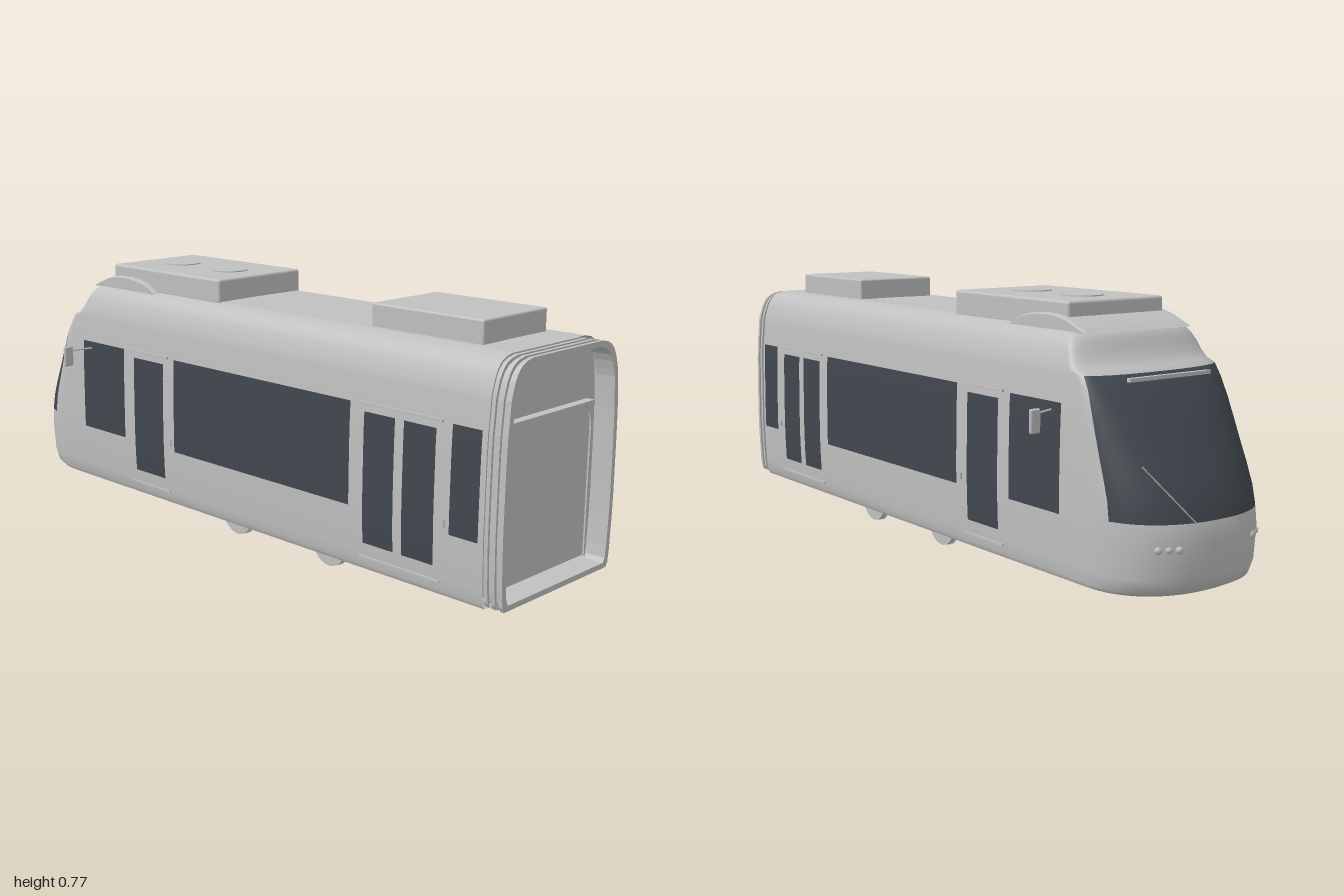
import * as THREE from 'three';
import { RoundedBoxGeometry } from 'three/addons/geometries/RoundedBoxGeometry.js';

// Body slices from sill to roof: [height, half width, nose tip z, nose depth]
const ROWS = [
  [0.062, 0.232, -0.955, 0.2], [0.075, 0.239, -0.98, 0.21], [0.11, 0.243, -0.994, 0.215],
  [0.2, 0.247, -1.0, 0.22], [0.25, 0.248, -0.99, 0.21], [0.3, 0.248, -0.973, 0.195],
  [0.35, 0.2475, -0.948, 0.18], [0.4, 0.247, -0.918, 0.16], [0.46, 0.246, -0.882, 0.135],
  [0.513, 0.244, -0.848, 0.11], [0.56, 0.24, -0.81, 0.08], [0.594, 0.237, -0.78, 0.065],
  [0.605, 0.236, -0.75, 0.06], [0.625, 0.231, -0.725, 0.05], [0.65, 0.223, -0.71, 0.045],
  [0.67, 0.213, -0.698, 0.042], [0.685, 0.199, -0.688, 0.04], [0.695, 0.18, -0.672, 0.035],
  [0.7, 0.155, -0.65, 0.03],
];
const REAR = 0.945;

function halfWidth(y) {
  const k = Math.min(Math.max(ROWS.findIndex(r => r[0] >= y), 1), ROWS.length - 1);
  const a = ROWS[k - 1], b = ROWS[k];
  return THREE.MathUtils.lerp(a[1], b[1], (y - a[0]) / (b[0] - a[0]));
}

// Angles round the nose; the windscreen lies between EDGE and PI - EDGE
const EDGE = 0.273, SEG = 30;
const ANGLES = [0, 0.09, 0.18];
for (let i = 0; i <= SEG; i++) ANGLES.push(EDGE + (Math.PI - 2 * EDGE) * i / SEG);
ANGLES.push(Math.PI - 0.18, Math.PI - 0.09, Math.PI);

// Skin through slices; faces picked by isGlass go to the second material
function skin(rows, isGlass = () => false) {
  const pos = [], solid = [], glass = [], n = ANGLES.length + 2;
  for (const [y, w, tip, d] of rows) {
    pos.push(w, y, REAR);
    for (const t of ANGLES) {
      const c = Math.cos(t);
      pos.push(w * Math.sign(c) * Math.abs(c) ** 0.87, y, tip + d - d * Math.abs(Math.sin(t)) ** 0.87);
    }
    pos.push(-w, y, REAR);
  }
  for (let j = 0; j < rows.length - 1; j++) for (let i = 0; i < n - 1; i++) {
    const a = j * n + i;
    (isGlass(i, rows[j][0]) ? glass : solid).push(a, a + 1, a + n, a + 1, a + n + 1, a + n);
  }
  const g = new THREE.BufferGeometry();
  g.setAttribute('position', new THREE.Float32BufferAttribute(pos, 3));
  g.setIndex([...solid, ...glass]);
  g.addGroup(0, solid.length, 0);
  g.addGroup(solid.length, glass.length, 1);
  g.computeVertexNormals();
  return g;
}

// Closed outline of the car's cross-section, inset by d
function section(d, Type = THREE.Shape) {
  const right = ROWS.map(r => new THREE.Vector2(r[1] - d, 0.062 + d + (r[0] - 0.062) * (0.638 - 2 * d) / 0.638));
  return new Type([...right, ...right.slice().reverse().map(p => new THREE.Vector2(-p.x, p.y))]);
}

// Opening of the passenger room
function arch(Type) {
  const s = new Type();
  s.moveTo(-0.228, 0.08); s.lineTo(0.228, 0.08); s.lineTo(0.228, 0.44);
  s.quadraticCurveTo(0.225, 0.515, 0.16, 0.515); s.lineTo(-0.16, 0.515);
  s.quadraticCurveTo(-0.225, 0.515, -0.228, 0.44); s.lineTo(-0.228, 0.08);
  return s;
}

export function createModel() {
  const tram = new THREE.Group();
  const grey = new THREE.MeshStandardMaterial({ color: 0xc0c0c0, side: THREE.DoubleSide });
  grey.name = 'bodyGrey';
  const dark = new THREE.MeshStandardMaterial({ color: 0x40474e, side: THREE.DoubleSide });
  dark.name = 'darkGlass';

  const add = (name, geo, mat = grey, x = 0, y = 0, z = 0) => {
    const m = new THREE.Mesh(geo, mat);
    m.name = name; m.position.set(x, y, z);
    tram.add(m);
    return m;
  };
  const box = (name, x0, x1, y0, y1, z0, z1, mat = grey) =>
    add(name, new THREE.BoxGeometry(x1 - x0, y1 - y0, z1 - z0), mat, (x0 + x1) / 2, (y0 + y1) / 2, (z0 + z1) / 2);
  const rod = (name, a, b, r) =>
    add(name, new THREE.TubeGeometry(new THREE.LineCurve3(new THREE.Vector3(...a), new THREE.Vector3(...b)), 1, r, 8));
  const across = (name, x, y, z, r, len) => {
    add(name, new THREE.CylinderGeometry(r, r, len, 28), grey, x, y, z).rotation.z = Math.PI / 2;
  };
  const extrude = (name, shape, z0, depth) =>
    add(name, new THREE.ExtrudeGeometry(shape, { depth, bevelEnabled: false, curveSegments: 10 }), grey, 0, 0, z0);
  // Thin panel that follows the curve of the side wall
  const sidePanel = (name, s, y0, y1, z0, z1, off, mat) => {
    const g = new THREE.PlaneGeometry(z1 - z0, y1 - y0, 1, 8);
    g.rotateY(s * Math.PI / 2);
    g.translate(0, (y0 + y1) / 2, (z0 + z1) / 2);
    const p = g.attributes.position;
    for (let i = 0; i < p.count; i++) p.setX(i, s * (halfWidth(p.getY(i)) + off));
    g.computeVertexNormals();
    add(name, g, mat);
  };

  // Shell, windscreen and underside
  add('bodyShell', skin(ROWS, (i, y) => i >= 4 && i < 4 + SEG && y >= 0.25 && y < 0.594), [grey, dark]);
  const low = ROWS[0], top = ROWS[ROWS.length - 1];
  add('underside', skin([[low[0], 0, low[2], low[3]], low]), [grey, dark]);
  add('roof', skin([top, [top[0] + 0.001, 0, top[2], top[3]]]), [grey, dark]);

  // Rear bulkhead and gangway bellows
  const bulkhead = section(0.006);
  bulkhead.holes.push(arch(THREE.Path));
  extrude('rearBulkhead', bulkhead, 0.92, 0.01);
  box('ceilingLip', -0.2, 0.2, 0.515, 0.525, 0.925, 0.955);
  for (let i = 0; i < 5; i++) {
    const ring = section(i % 2 ? 0.012 : 0.005);
    ring.holes.push(section(0.02, THREE.Path));
    extrude('bellowsRing', ring, 0.944 + i * 0.0112, 0.0112);
  }

  // Passenger room: lining, floor and cab wall
  const pts = arch(THREE.Shape).getPoints(10);
  const lining = new THREE.Shape(pts.map(p => new THREE.Vector2(p.x * 1.006, p.y + 0.002)));
  lining.holes.push(arch(THREE.Path));
  extrude('roomLining', lining, -0.62, 1.545);
  box('floor', -0.228, 0.228, 0.068, 0.08, -0.62, 0.98);
  extrude('cabWall', arch(THREE.Shape), -0.63, 0.01);
  box('displayFrame', -0.065, 0.065, 0.452, 0.503, -0.62, -0.6);
  box('displayScreen', -0.058, 0.058, 0.457, 0.498, -0.6, -0.596, dark);
  box('monitor', -0.17, -0.065, 0.35, 0.42, -0.59, -0.582, dark);
  rod('monitorStand', [-0.138, 0.325, -0.59], [-0.138, 0.352, -0.59], 0.003);
  rod('centrePole', [0, 0.08, 0.67], [0, 0.515, 0.67], 0.004);

  for (const s of [-1, 1]) {
    const span = (name, a, b, ...rest) => box(name, Math.min(s * a, s * b), Math.max(s * a, s * b), ...rest);

    // Side glazing, outside and inside
    const panes = [[0.235, 0.52, 0.84, 0.93], [0.14, 0.5, 0.685, 0.79], [0.14, 0.5, 0.55, 0.655],
      [0.235, 0.52, -0.22, 0.5], [0.14, 0.5, -0.41, -0.27], [0.235, 0.52, -0.67, -0.46]];
    for (const [y0, y1, z0, z1] of panes) {
      sidePanel('sideWindow', s, y0, y1, z0, z1, 0.0025, dark);
      span('innerWindow', 0.2255, 0.2275, y0, Math.min(y1, 0.45), Math.max(z0, -0.61), Math.min(z1, 0.915), dark);
    }
    // Door rails, posts and sills
    for (const [z0, z1] of [[0.535, 0.81], [-0.43, -0.25]]) {
      span('doorRail', 0.24, 0.249, 0.518, 0.525, z0, z1);
      span('doorSill', 0.24, 0.247, 0.098, 0.103, z0, z1);
      sidePanel('doorPost', s, 0.1, 0.52, z1 - 0.008, z1 - 0.002, 0.003, grey);
      span('doorButton', 0.245, 0.253, 0.25, 0.27, z1 + 0.005, z1 + 0.015);
    }

    // Mirrors
    rod('mirrorArm', [s * 0.24, 0.499, -0.628], [s * 0.31, 0.489, -0.652].map((v, i) => i === 1 ? 0.497 : v), 0.003);
    add('mirror', new RoundedBoxGeometry(0.033, 0.064, 0.012, 3, 0.006), grey, s * 0.319, 0.479, -0.655);

    // Headlamps
    for (let i = 0; i < 3; i++)
      add('headlamp', new THREE.SphereGeometry(0.011, 12, 8), grey, s * (0.125 + i * 0.022), 0.188, -0.974 + i * 0.0135);

    // Wheels and brake discs
    for (const z of [0.353, -0.027]) {
      across('wheel', s * 0.16, 0.064, z, 0.062, 0.018);
      across('wheelFlange', s * 0.152, 0.064, z, 0.0638, 0.005);
      across('wheelHub', s * 0.175, 0.064, z, 0.025, 0.02);
      across('brakeDisc', s * 0.1, 0.064, z, 0.037, 0.009);
    }

    // Seats on their plinth
    span('seatPlinth', 0.04, 0.222, 0.08, 0.12, -0.15, 0.46);
    for (const [z, f] of [[0.42, -1], [0.16, 1], [-0.12, 1]]) {
      for (const x of [0.09, 0.18]) {
        add('seatBack', new THREE.BoxGeometry(0.088, 0.15, 0.012), grey, s * x, 0.275, z);
        add('seatCushion', new THREE.BoxGeometry(0.088, 0.016, 0.09), grey, s * x, 0.205, z + f * 0.045);
      }
      add('seatLeg', new THREE.BoxGeometry(0.04, 0.08, 0.04), grey, s * 0.172, 0.16, z + f * 0.045);
    }
    // Grab poles
    rod('grabPole', [s * 0.175, 0.08, 0.82], [s * 0.175, 0.505, 0.82], 0.004);
    rod('grabPole', [s * 0.22, 0.08, 0.52], [s * 0.22, 0.47, 0.52], 0.004);
  }

  // Axles and drive units
  for (const z of [0.353, -0.027]) across('axle', 0, 0.064, z, 0.008, 0.32);
  for (const z of [0.255, 0.07]) across('driveUnit', 0, 0.062, z, 0.024, 0.125);

  // Roof equipment and its fairing
  add('frontRoofUnit', new RoundedBoxGeometry(0.335, 0.074, 0.5, 3, 0.008), grey, 0, 0.729, -0.35);
  add('rearRoofUnit', new RoundedBoxGeometry(0.27, 0.072, 0.37, 3, 0.006), grey, 0, 0.727, 0.655);
  for (const z of [-0.46, -0.24]) add('roofFan', new THREE.CylinderGeometry(0.058, 0.058, 0.004, 32), grey, 0, 0.767, z);
  const curve = new THREE.CatmullRomCurve3([[0.37, 0.69], [0.43, 0.717], [0.5, 0.728], [0.59, 0.724], [0.685, 0.69]]
    .map(p => new THREE.Vector3(p[0], p[1], 0)));
  const fairing = new THREE.ExtrudeGeometry(new THREE.Shape(curve.getPoints(16).map(p => new THREE.Vector2(p.x, p.y))),
    { depth: 0.34, bevelThickness: 0.015, bevelSize: 0.004, bevelSegments: 2 });
  fairing.translate(0, 0, -0.17);
  add('roofFairing', fairing).rotation.y = Math.PI / 2;

  // Windscreen trim and wiper
  box('screenTrim', -0.14, 0.14, 0.578, 0.588, -0.808, -0.795);
  rod('wiper', [0.08, 0.25, -0.985], [0.225, 0.4, -0.945], 0.002);
  return tram;
}
